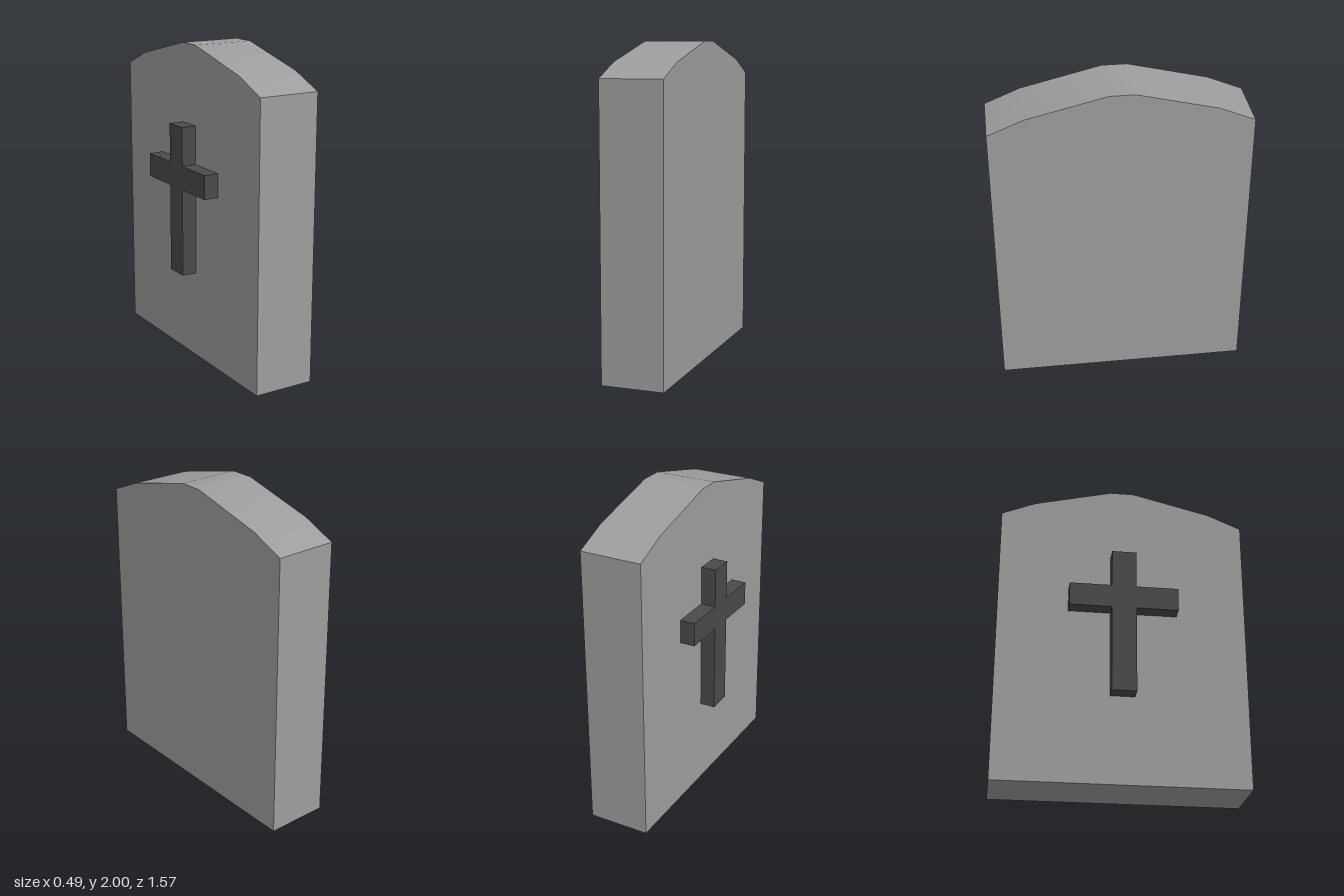
import * as THREE from 'three';
import { toCreasedNormals } from 'three/addons/utils/BufferGeometryUtils.js';

// Extrudes a (z, y) outline across the thickness, from xMax down to xMin.
function slab(name, outline, xMin, xMax, color) {
  const shape = new THREE.Shape(outline.map(([z, y]) => new THREE.Vector2(z, y)));
  const geometry = new THREE.ExtrudeGeometry(shape, { depth: xMax - xMin, bevelEnabled: false });
  geometry.rotateY(-Math.PI / 2);
  geometry.translate(xMax, 0, 0);
  const mesh = new THREE.Mesh(
    toCreasedNormals(geometry, 0.4),
    new THREE.MeshStandardMaterial({ color })
  );
  mesh.name = name;
  return mesh;
}

export function createModel() {
  const group = new THREE.Group();
  group.name = 'gravestone';

  // Upright stone with a shallow arched top
  const half = [[0.783, 0], [0.783, 1.79], [0.567, 1.88], [0.077, 2]];
  const mirrored = half.map(([z, y]) => [-z, y]).reverse();
  group.add(slab('stone', [...half, ...mirrored], -0.148, 0.243, 0x9d9d9d));

  // Raised cross on the broad face
  const post = 0.077, arm = 0.342;
  const bottom = 0.558, armLow = 1.115, armHigh = 1.265, top = 1.508;
  const side = [[post, bottom], [post, armLow], [arm, armLow], [arm, armHigh], [post, armHigh], [post, top]];
  const otherSide = side.map(([z, y]) => [-z, y]).reverse();
  group.add(slab('cross', [...side, ...otherSide], -0.243, -0.148, 0x4a4a4a));

  return group;
}
